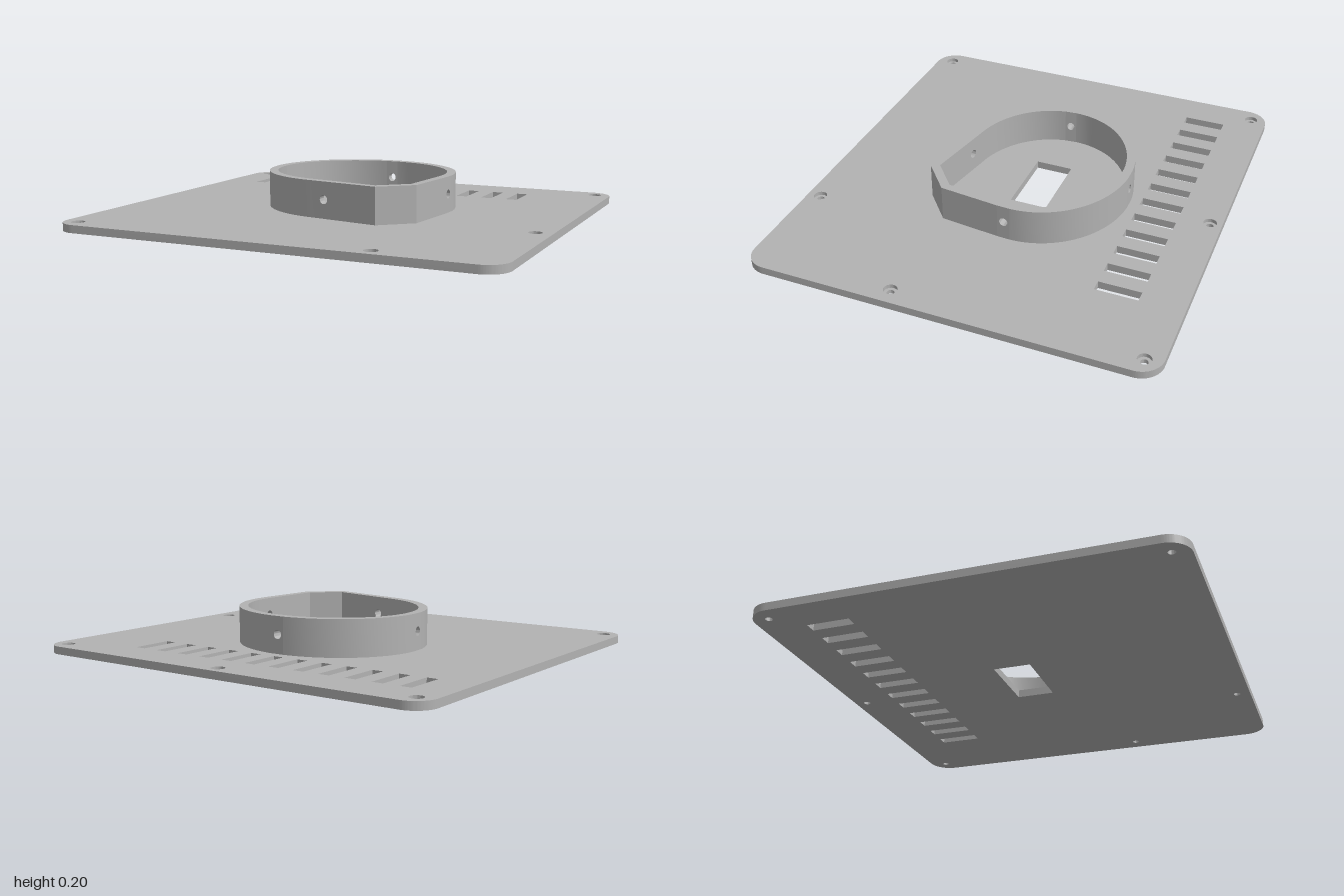
import * as THREE from 'three';
import { toCreasedNormals } from 'three/addons/utils/BufferGeometryUtils.js';

const PLATE_T = 0.035, RING_TOP = 0.2, CREASE = 0.5;

const points = (list) => list.map(([x, z]) => new THREE.Vector2(x, -z));

const circlePath = (x, z, r, Type = THREE.Path) => new Type().absarc(x, -z, r, 0, Math.PI * 2, false);

const rectPath = (x0, x1, z0, z1) =>
  new THREE.Path(points([[x0, z0], [x1, z0], [x1, z1], [x0, z1], [x0, z0]]));

// Extrudes a plan outline upwards from y0 to y1
function extrudeUp(shape, y0, y1) {
  const g = new THREE.ExtrudeGeometry(shape, { depth: y1 - y0, bevelEnabled: false, curveSegments: 16 });
  g.rotateX(-Math.PI / 2).translate(0, y0, 0);
  return toCreasedNormals(g, CREASE);
}

export function createModel() {
  const model = new THREE.Group();
  const grey = new THREE.MeshStandardMaterial({ color: 0xb2b2b2 });
  grey.name = 'grey plastic';
  const add = (name, geometry, parent = model) => {
    const mesh = new THREE.Mesh(geometry, grey);
    mesh.name = name;
    parent.add(mesh);
  };

  // Plate with rounded corners
  const w = 1, d = 0.91, r = 0.1;
  const plate = new THREE.Shape();
  plate.absarc(w - r, d - r, r, 0, Math.PI / 2);
  plate.absarc(r - w, d - r, r, Math.PI / 2, Math.PI);
  plate.absarc(r - w, r - d, r, Math.PI, Math.PI * 1.5);
  plate.absarc(w - r, r - d, r, Math.PI * 1.5, Math.PI * 2);
  plate.closePath();

  // Centre window and row of vent slots
  plate.holes.push(rectPath(-0.17, 0.165, -0.14, 0.03));
  for (let i = 0; i < 12; i++) {
    const x = -0.802 + i * 0.1264;
    plate.holes.push(rectPath(x - 0.026, x + 0.026, -0.715, -0.525));
  }

  // Counterbored screw holes: wide bore in the plate, narrow seat below
  const screws = [[-0.925, -0.835], [0, -0.855], [0.925, -0.835], [0.925, 0.245], [-0.925, 0.835], [0.46, 0.85]];
  for (const [x, z] of screws) {
    plate.holes.push(circlePath(x, z, 0.03));
    const seat = circlePath(x, z, 0.03, THREE.Shape);
    seat.holes.push(circlePath(x, z, 0.016));
    add('screwSeat', extrudeUp(seat, 0, 0.018));
  }
  add('plate', extrudeUp(plate, 0, PLATE_T));

  // Collar outline as pairs of outer and inner points, anticlockwise from the right
  const collar = new THREE.Group();
  collar.name = 'collar';
  model.add(collar);
  const CZ = -0.08;
  const onOval = (a) => [
    [0.44 * Math.cos(a), CZ - 0.4 * Math.sin(a)],
    [0.4 * Math.cos(a), CZ - 0.36 * Math.sin(a)],
  ];
  const arc = (a0, a1, n) => Array.from({ length: n + 1 }, (_, i) => onOval(a0 + (a1 - a0) * i / n));
  const half = 0.07;
  const backStart = Math.PI / 2 - half, backEnd = Math.PI / 2 + half;
  const leftStart = Math.PI, leftEnd = Math.PI + 0.15;
  const frontOval = Math.PI * 1.5 - 0.16;

  // Straight front wall running from the oval to the cut corner
  const tangent = onOval(frontOval);
  const corner = [[0.267, 0.375], [0.25, 0.337]];
  const onFront = (x) => [0, 1].map((k) => {
    const [a, b] = [tangent[k], corner[k]];
    return [x, a[1] + (b[1] - a[1]) * (x - a[0]) / (b[0] - a[0])];
  });
  const rightStart = [[0.437, -0.02], [0.397, -0.02]];
  const walls = [
    arc(0, backStart, 24),
    arc(backEnd, leftStart, 24),
    [...arc(leftEnd, frontOval, 24), onFront(-0.03)],
    [onFront(0.03), corner, [[0.407, 0.255], [0.373, 0.232]], rightStart],
  ];

  for (const wall of walls) {
    const outline = [...wall.map((p) => p[0]), ...wall.map((p) => p[1]).reverse()];
    add('collarWall', extrudeUp(new THREE.Shape(points(outline)), PLATE_T, RING_TOP), collar);
  }

  // Drilled panels bridge the gap between each wall and the next
  walls.forEach((wall, i) => {
    const a = wall[wall.length - 1], b = walls[(i + 1) % walls.length][0];
    const width = Math.hypot(b[0][0] - a[0][0], b[0][1] - a[0][1]);
    const panel = new THREE.Shape([[0, PLATE_T], [1, PLATE_T], [1, RING_TOP], [0, RING_TOP]]
      .map(([s, y]) => new THREE.Vector2(s, y)));
    panel.holes.push(new THREE.Path().absellipse(0.5, 0.12, 0.02 / width, 0.02, 0, Math.PI * 2));
    const g = new THREE.ExtrudeGeometry(panel, { depth: 1, bevelEnabled: false, curveSegments: 20 });
    const pos = g.attributes.position;
    for (let v = 0; v < pos.count; v++) {
      const s = pos.getX(v), t = pos.getZ(v);
      const [x, z] = [0, 1].map((k) => {
        const inner = a[1][k] + (b[1][k] - a[1][k]) * s;
        const outer = a[0][k] + (b[0][k] - a[0][k]) * s;
        return inner + (outer - inner) * t;
      });
      pos.setXYZ(v, x, pos.getY(v), z);
    }
    add('drilledPanel', toCreasedNormals(g, CREASE), collar);
  });

  return model;
}
